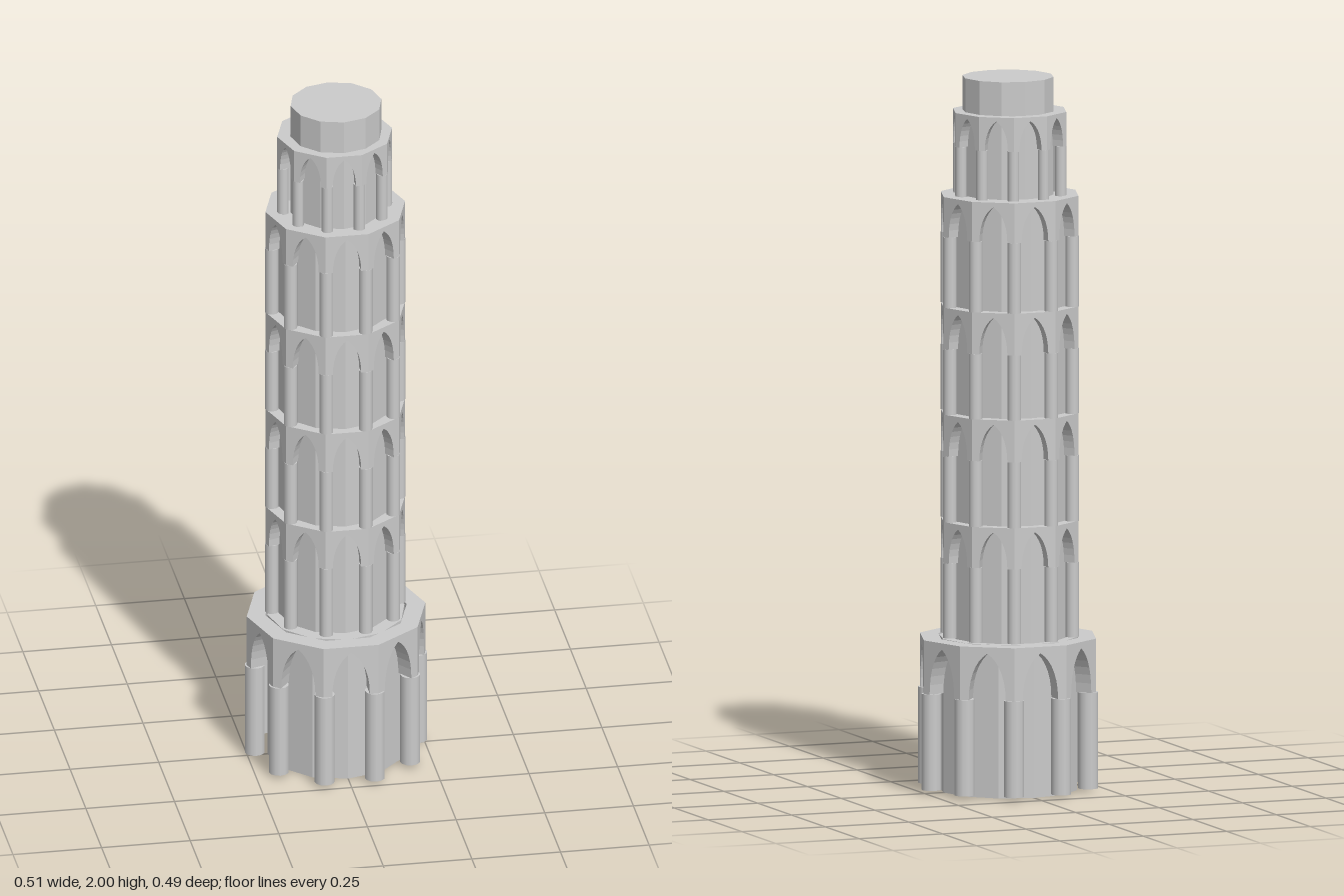
import * as THREE from 'three';

const SIDES = 10;
const STEP = (Math.PI * 2) / SIDES;
const material = new THREE.MeshStandardMaterial({ color: 0xcccccc });
const flat = new THREE.MeshStandardMaterial({ color: 0xcccccc, flatShading: true });

// One wall panel of the decagon with a pointed arch cut from its lower edge;
// its ends are mitred so that ten panels close into a ring.
function archPanel(radius, thickness, height, archHalf, archHeight) {
  const half = radius * Math.sin(STEP / 2);
  const apothem = radius * Math.cos(STEP / 2);
  const shape = new THREE.Shape();
  shape.moveTo(-half, 0);
  shape.lineTo(-archHalf, 0);
  shape.bezierCurveTo(-archHalf, archHeight * 0.5, -archHalf * 0.6, archHeight * 0.85, 0, archHeight);
  shape.bezierCurveTo(archHalf * 0.6, archHeight * 0.85, archHalf, archHeight * 0.5, archHalf, 0);
  shape.lineTo(half, 0);
  shape.lineTo(half, height);
  shape.lineTo(-half, height);
  shape.closePath();
  const geometry = new THREE.ExtrudeGeometry(shape, { depth: thickness, bevelEnabled: false, curveSegments: 7 });
  geometry.translate(0, 0, apothem - thickness);
  const p = geometry.attributes.position;
  for (let i = 0; i < p.count; i++) {
    const x = p.getX(i);
    if (Math.abs(x) > half - 1e-4) p.setX(i, Math.sign(x) * p.getZ(i) * Math.tan(STEP / 2));
  }
  geometry.computeVertexNormals();
  return geometry;
}

// A ring of ten corner columns carrying ten arches
function arcade(name, t) {
  const group = new THREE.Group();
  group.name = name;
  group.position.set(t.x || 0, 0, t.z || 0);
  const panel = archPanel(t.radius, t.thickness, t.top - t.spring, t.archHalf, (t.top - t.spring) * 0.88);
  const column = new THREE.CylinderGeometry(t.columnRadius, t.columnRadius, t.spring - t.bottom, 12);
  for (let i = 0; i < SIDES; i++) {
    const arch = new THREE.Mesh(panel, flat);
    arch.name = 'arch';
    arch.position.y = t.spring;
    arch.rotation.y = i * STEP;
    const post = new THREE.Mesh(column, material);
    post.name = 'column';
    const a = i * STEP;
    post.position.set(Math.cos(a) * t.columnRing, (t.bottom + t.spring) / 2, Math.sin(a) * t.columnRing);
    group.add(arch, post);
  }
  return group;
}

// Twelve-sided solid wall section
function core(name, radius, bottom, top, z = 0) {
  const mesh = new THREE.Mesh(new THREE.CylinderGeometry(radius, radius, top - bottom, 12), flat);
  mesh.name = name;
  mesh.position.set(0, (bottom + top) / 2, z);
  return mesh;
}

export function createModel() {
  const tower = new THREE.Group();
  tower.name = 'tower';

  // Solid walls
  tower.add(
    core('baseWall', 0.193, 0, 0.43),
    core('shaftWall', 0.161, 0.43, 1.67, -0.01),
    core('topDrum', 0.128, 1.67, 2)
  );

  // Wide ground-floor arcade
  tower.add(arcade('baseArcade', {
    radius: 0.252, thickness: 0.05, bottom: 0.01, spring: 0.28, top: 0.43,
    archHalf: 0.053, columnRadius: 0.028, columnRing: 0.229
  }));

  // Four storeys of the shaft: bottom, spring line, top
  const storeys = [[0.435, 0.645, 0.76], [0.76, 0.945, 1.062], [1.062, 1.245, 1.362], [1.362, 1.56, 1.672]];
  storeys.forEach(([bottom, spring, top], i) => tower.add(arcade('storeyArcade' + (i + 1), {
    radius: 0.197, thickness: 0.034, bottom, spring, top, z: -0.012,
    archHalf: 0.04, columnRadius: 0.019, columnRing: 0.179
  })));

  // Narrow belfry arcade
  tower.add(arcade('belfryArcade', {
    radius: 0.162, thickness: 0.034, bottom: 1.67, spring: 1.81, top: 1.905, x: -0.003, z: -0.005,
    archHalf: 0.033, columnRadius: 0.016, columnRing: 0.146
  }));

  return tower;
}
